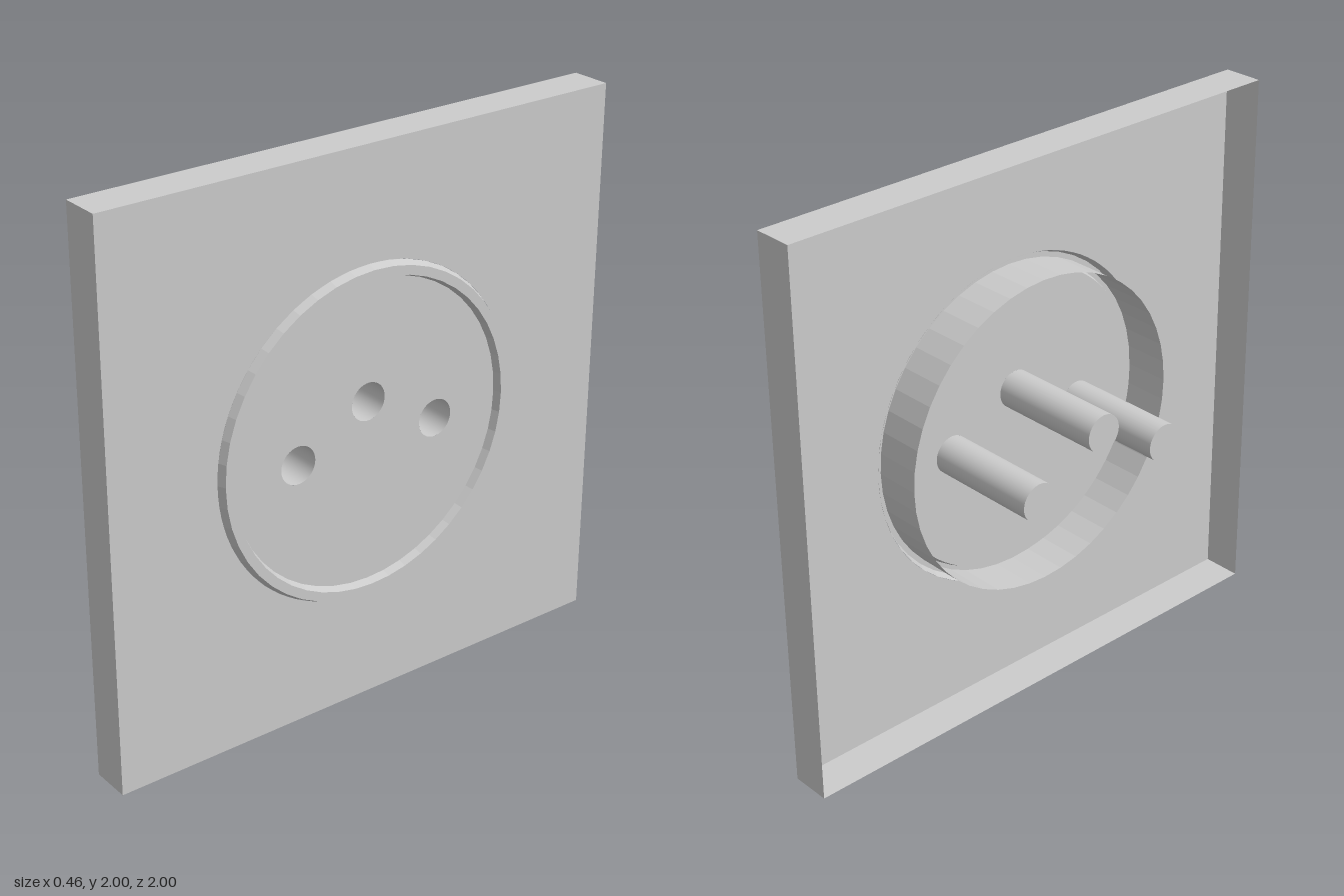
import * as THREE from 'three';

const BACK = 0.055, FACE = 0.2, CREST = 0.228, PIN_END = -0.228;
const PIN_R = 0.068, SEGMENTS = 48;
// pin sockets as [y, z] from the plate centre
const PINS = [[-0.027, 0.285], [-0.027, -0.285], [0.117, 0]];

export function createModel() {
  const model = new THREE.Group();
  model.name = 'wallSocket';
  model.position.y = 1;
  const smooth = new THREE.MeshStandardMaterial({ color: 0xcccccc, side: THREE.DoubleSide });
  const flat = new THREE.MeshStandardMaterial({ color: 0xcccccc, side: THREE.DoubleSide, flatShading: true });

  const add = (name, geometry, material, parent = model) => {
    const mesh = new THREE.Mesh(geometry, material);
    mesh.name = name;
    parent.add(mesh);
    return mesh;
  };

  // Thin sheet turned to face +x
  const sheet = (name, shape) => {
    const mesh = add(name, new THREE.ShapeGeometry(shape, SEGMENTS), flat);
    mesh.rotation.y = Math.PI / 2;
    mesh.position.x = FACE;
  };
  const hole = (shape, x, y, r) =>
    shape.holes.push(new THREE.Path().absarc(x, y, r, 0, Math.PI * 2, true));

  // Surface of revolution about the x axis, points as [radius, x]
  const turned = (name, points, material, y = 0, z = 0) => {
    const profile = points.map(([r, x]) => new THREE.Vector2(r, x));
    const mesh = add(name, new THREE.LatheGeometry(profile, SEGMENTS), material);
    mesh.rotation.z = -Math.PI / 2;
    mesh.position.set(0, y, z);
  };

  // Square front plate with a round opening
  const plate = new THREE.Shape([[-1, -1], [1, -1], [1, 1], [-1, 1]].map(p => new THREE.Vector2(...p)));
  hole(plate, 0, 0, 0.6);
  sheet('frontPlate', plate);

  // Four thin side walls, open at the back
  for (let i = 0; i < 4; i++) {
    const side = new THREE.Group();
    side.name = 'plateWall';
    side.rotation.x = i * Math.PI / 2;
    const wall = add('wallSheet', new THREE.PlaneGeometry(FACE - BACK, 2), flat, side);
    wall.rotation.x = -Math.PI / 2;
    wall.position.set((FACE + BACK) / 2, 1, 0);
    model.add(side);
  }

  // Raised bevelled rim and the collar behind it
  turned('rim', [[0.6, FACE], [0.588, CREST], [0.555, CREST], [0.545, FACE]], flat);
  turned('backCollar', [[0.57, BACK], [0.57, CREST - 0.003]], flat);

  // Socket disc with three pin holes
  const disc = new THREE.Shape().absarc(0, 0, 0.545, 0, Math.PI * 2);
  for (const [y, z] of PINS) hole(disc, -z, y, PIN_R);
  sheet('socketDisc', disc);

  // Hollow pin sleeves, closed at the back
  for (const [y, z] of PINS) {
    turned('pinSleeve', [[PIN_R, PIN_END], [PIN_R, FACE]], smooth, y, z);
    turned('sleeveEnd', [[0, PIN_END], [PIN_R, PIN_END]], flat, y, z);
  }
  const root = new THREE.Group();
  root.name = 'socketModel';
  root.add(model);
  return root;
}
